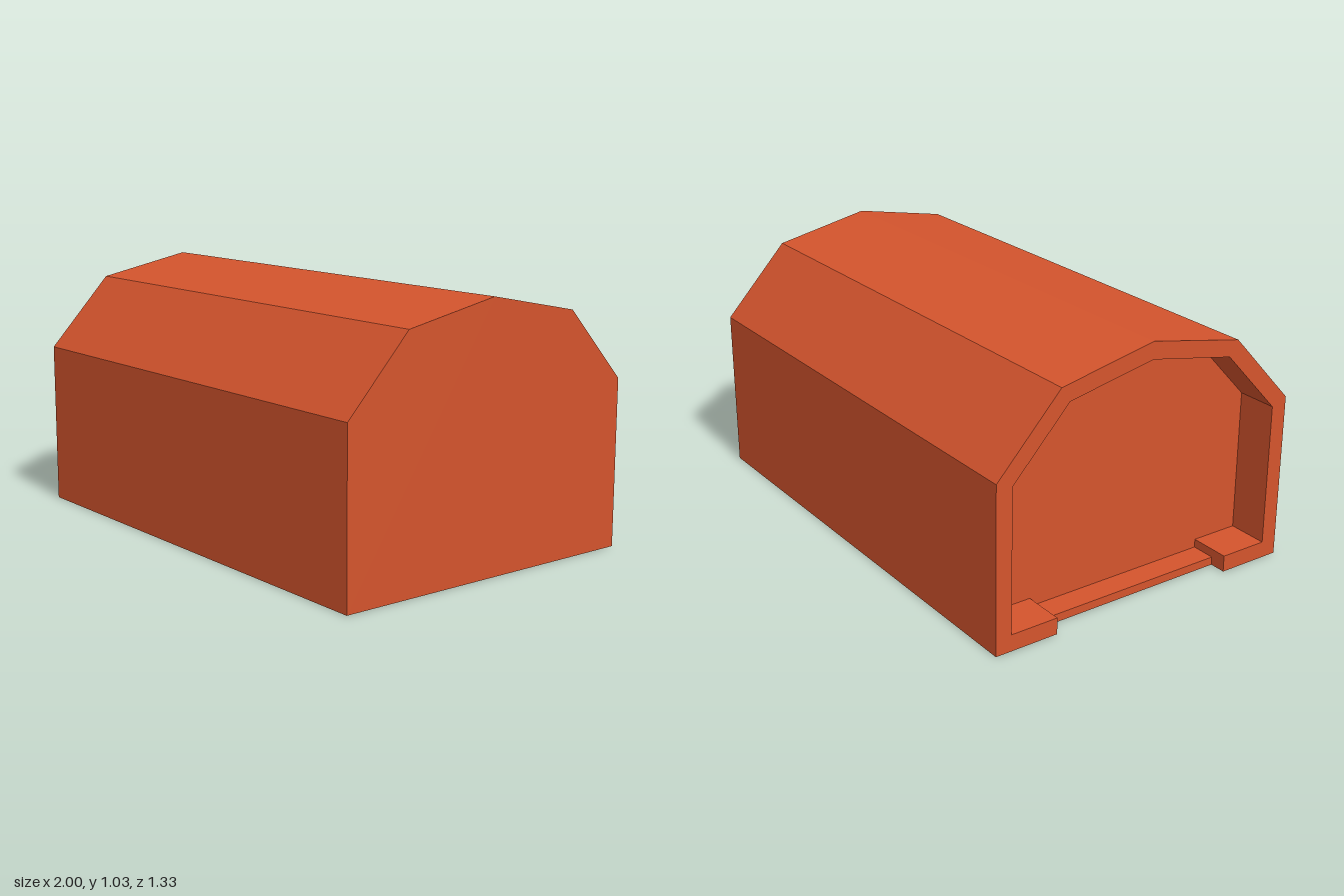
import * as THREE from 'three';

export function createModel() {
  const model = new THREE.Group();
  const orange = new THREE.MeshStandardMaterial({ color: 0xd4542d });
  orange.name = 'burnt orange';

  const add = (name, geometry) => {
    const mesh = new THREE.Mesh(geometry, orange);
    mesh.name = name;
    model.add(mesh);
  };

  // Extrudes a z-y cross-section along x between two positions
  const prism = (points, x0, x1) => {
    const shape = new THREE.Shape(points.map(([z, y]) => new THREE.Vector2(z, y)));
    const geometry = new THREE.ExtrudeGeometry(shape, { depth: x1 - x0, bevelEnabled: false });
    return geometry.rotateY(Math.PI / 2).translate(x0, 0, 0);
  };

  // Faceted arch, from one eave over the ridge to the other
  const arch = (w, eave, sw, shoulder, ridge) =>
    [[w, eave], [sw, shoulder], [0, ridge], [-sw, shoulder], [-w, eave]];
  const outer = arch(0.667, 0.667, 0.4, 0.953, 1.033);
  const inner = arch(0.6, 0.641, 0.363, 0.894, 0.965);

  const panelX = -0.833; // recessed end panel
  const lip = 0.067;     // rim thickness
  const gap = 0.4;       // half width of the doorway gap

  // Solid barrel-roofed body
  add('body', prism([[-0.667, 0], [0.667, 0], ...outer], panelX, 1));

  // Rim around the recessed end, open at the bottom
  add('endRim', prism([
    [gap, 0], [0.667, 0], ...outer, [-0.667, 0], [-gap, 0],
    [-gap, lip], [-0.6, lip], ...inner.slice().reverse(), [0.6, lip], [gap, lip],
  ], -1, panelX));

  // Low step inside the gap
  const stepFront = -0.933, stepHeight = 0.033;
  const step = new THREE.BoxGeometry(panelX - stepFront, stepHeight, gap * 2);
  add('doorStep', step.translate((panelX + stepFront) / 2, stepHeight / 2, 0));

  return model;
}
